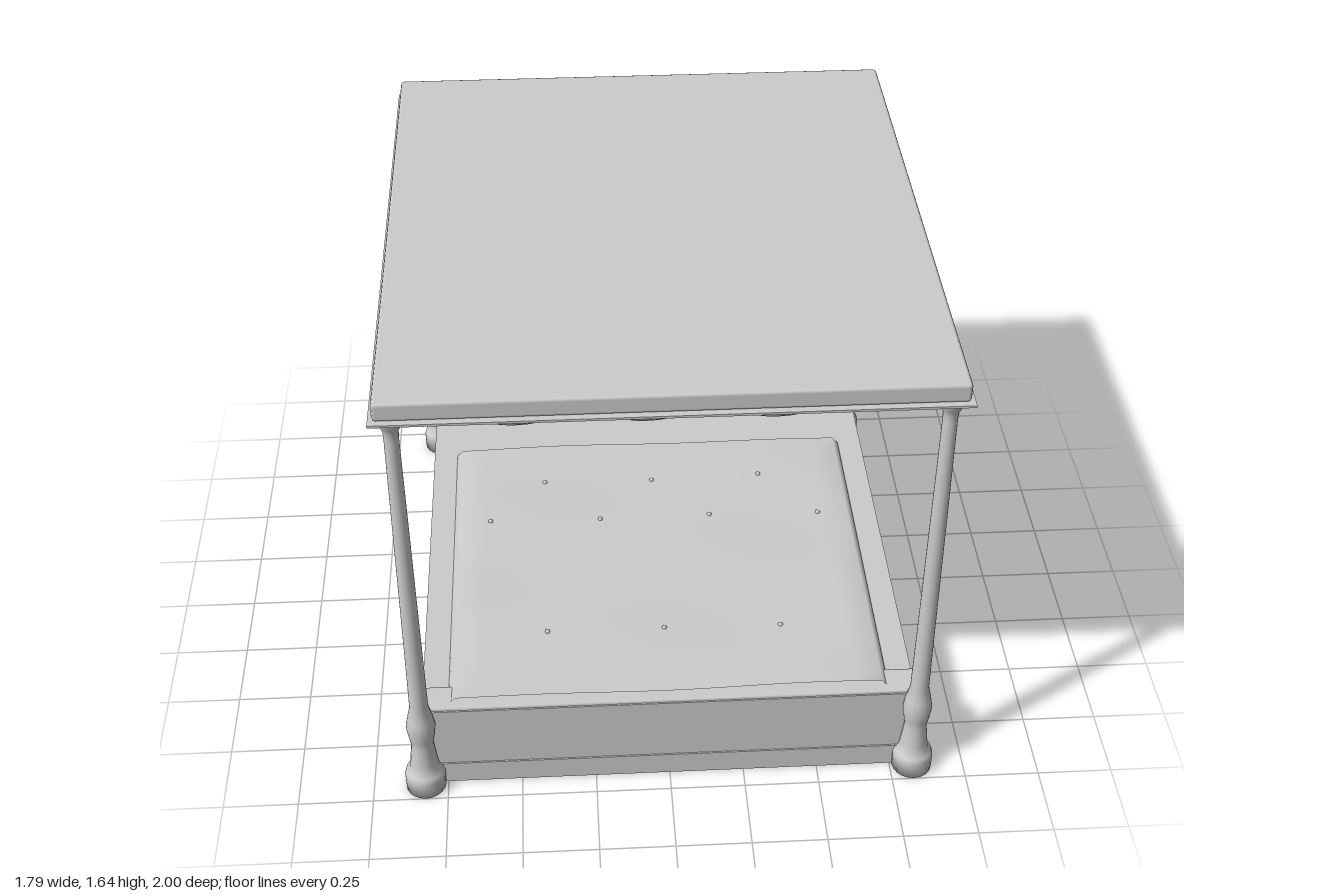
import * as THREE from 'three';
import { RoundedBoxGeometry } from 'three/addons/geometries/RoundedBoxGeometry.js';

const grey = new THREE.MeshStandardMaterial({ color: 0xcccccc });
grey.name = 'plain grey';
const greySheet = new THREE.MeshStandardMaterial({ color: 0xcccccc, side: THREE.DoubleSide });
greySheet.name = 'plain grey cloth';

export function createModel() {
  const model = new THREE.Group();
  model.name = 'fourPosterBed';

  const add = (name, geometry, x = 0, y = 0, z = 0, material = grey) => {
    const mesh = new THREE.Mesh(geometry, material);
    mesh.name = name;
    mesh.position.set(x, y, z);
    model.add(mesh);
    return mesh;
  };
  // Box given by its extents: half width, y range, z range, optional edge bevel
  const slab = (name, hx, y0, y1, z0, z1, bevel = 0) => {
    const size = [hx * 2, y1 - y0, z1 - z0];
    const geometry = bevel ? new RoundedBoxGeometry(...size, 1, bevel) : new THREE.BoxGeometry(...size);
    return add(name, geometry, 0, (y0 + y1) / 2, (z0 + z1) / 2);
  };
  const ellipsoid = (name, [x, y, z], [rx, ry, rz], w = 28, h = 18) => {
    const mesh = add(name, new THREE.SphereGeometry(1, w, h), x, y, z);
    mesh.scale.set(rx, ry, rz);
    return mesh;
  };

  // Turned posts at the four corners
  const postProfile = [
    [0, 0], [0.067, 0], [0.068, 0.06], [0.062, 0.08], [0.05, 0.09], [0.046, 0.12],
    [0.037, 0.2], [0.042, 0.23], [0.049, 0.28], [0.042, 0.32], [0.031, 0.37],
    [0.029, 0.6], [0.023, 1.48], [0.024, 1.51], [0.032, 1.53], [0.045, 1.56], [0.045, 1.575], [0, 1.575],
  ].map(([r, y]) => new THREE.Vector2(r, y));
  const postGeometry = new THREE.LatheGeometry(postProfile, 20);
  for (const x of [-0.825, 0.825]) for (const z of [-0.932, 0.932]) add('post', postGeometry, x, 0, z);

  // Canopy roof and its thin lip
  slab('canopy', 0.872, 1.58, 1.645, -0.985, 0.985, 0.012);
  slab('canopyLip', 0.885, 1.572, 1.58, -1, 1);

  // Scalloped valance along both long sides
  const halfEdge = [
    [0, 1.385], [0.12, 1.415], [0.25, 1.51], [0.37, 1.548], [0.5, 1.43],
    [0.62, 1.387], [0.75, 1.4], [0.87, 1.485], [0.98, 1.575],
  ];
  const valance = new THREE.Shape();
  valance.moveTo(-0.98, 1.575);
  [...halfEdge].reverse().slice(1).forEach(([z, y]) => valance.lineTo(-z, y));
  halfEdge.slice(1).forEach(([z, y]) => valance.lineTo(z, y));
  const valanceGeometry = new THREE.ShapeGeometry(valance).rotateY(Math.PI / 2);
  for (const x of [-0.85, 0.85]) add('valance', valanceGeometry, x, 0, 0, greySheet);

  // Plinth, core and footboard
  slab('plinth', 0.805, 0, 0.085, -0.925, 0.925);
  slab('bedCore', 0.75, 0.08, 0.2, -0.9, 0.9);
  slab('footboard', 0.8, 0.08, 0.325, 0.84, 0.92);
  slab('footRail', 0.85, 0.135, 0.338, 0.81, 0.915, 0.012);

  // Headboard with a raised panel
  slab('headboard', 0.8, 0, 0.9, -0.94, -0.908);
  slab('headboardPanel', 0.735, 0.1, 0.868, -0.92, -0.862, 0.012);

  // Mattress with a chamfered underside
  const section = new THREE.Shape([
    [-0.82, 0.185], [-0.76, 0.165], [0.76, 0.165], [0.82, 0.185], [0.82, 0.322], [-0.82, 0.322],
  ].map(([x, y]) => new THREE.Vector2(x, y)));
  add('mattress', new THREE.ExtrudeGeometry(section, { depth: 1.7, bevelEnabled: false }), 0, 0, -0.872);

  // Blanket: gently rippled top, tucked down the sides and showing below the mattress
  const side = [[0.79, 0.09], [0.81, 0.155], [0.815, 0.185], [0.75, 0.28], [0.73, 0.33]];
  const topCount = 17;
  const across = [...side.map(([x, y]) => [-x, y, 0])];
  for (let i = 0; i < topCount; i++) across.push([-0.71 + (1.42 * i) / (topCount - 1), 0.354, 1]);
  across.push(...[...side].reverse().map(([x, y]) => [x, y, 0]));
  const rows = 24;
  const ripple = (x, z) => 0.004 * Math.sin(7 * x + 5 * z) + 0.003 * Math.sin(11 * z - 4 * x);
  const blanket = new THREE.PlaneGeometry(1, 1, across.length - 1, rows);
  const position = blanket.attributes.position;
  for (let i = 0; i < position.count; i++) {
    const [x, y, top] = across[i % across.length];
    const z = -0.435 + (1.32 * Math.floor(i / across.length)) / rows;
    position.setXYZ(i, x, y + top * ripple(x, z), z);
  }
  blanket.computeVertexNormals();
  add('blanket', blanket, 0, 0, 0, greySheet);

  // Tufting buttons on the blanket
  const buttonRows = [[0.59, [-0.4, 0, 0.4]], [0, [-0.6, -0.2, 0.2, 0.6]], [-0.22, [-0.4, 0, 0.4]]];
  for (const [z, xs] of buttonRows) {
    for (const x of xs) ellipsoid('button', [x, 0.355 + ripple(x, z), z], [0.009, 0.008, 0.009], 10, 6);
  }

  // Pillows and cushions
  for (const x of [-0.51, 0, 0.51]) ellipsoid('pillow', [x, 0.463, -0.665], [0.265, 0.117, 0.17]);
  ellipsoid('smallCushion', [0, 0.5, -0.525], [0.178, 0.066, 0.082]);
  ellipsoid('headboardCushion', [0, 0.975, -0.902], [0.175, 0.105, 0.047], 12, 9);

  return model;
}
